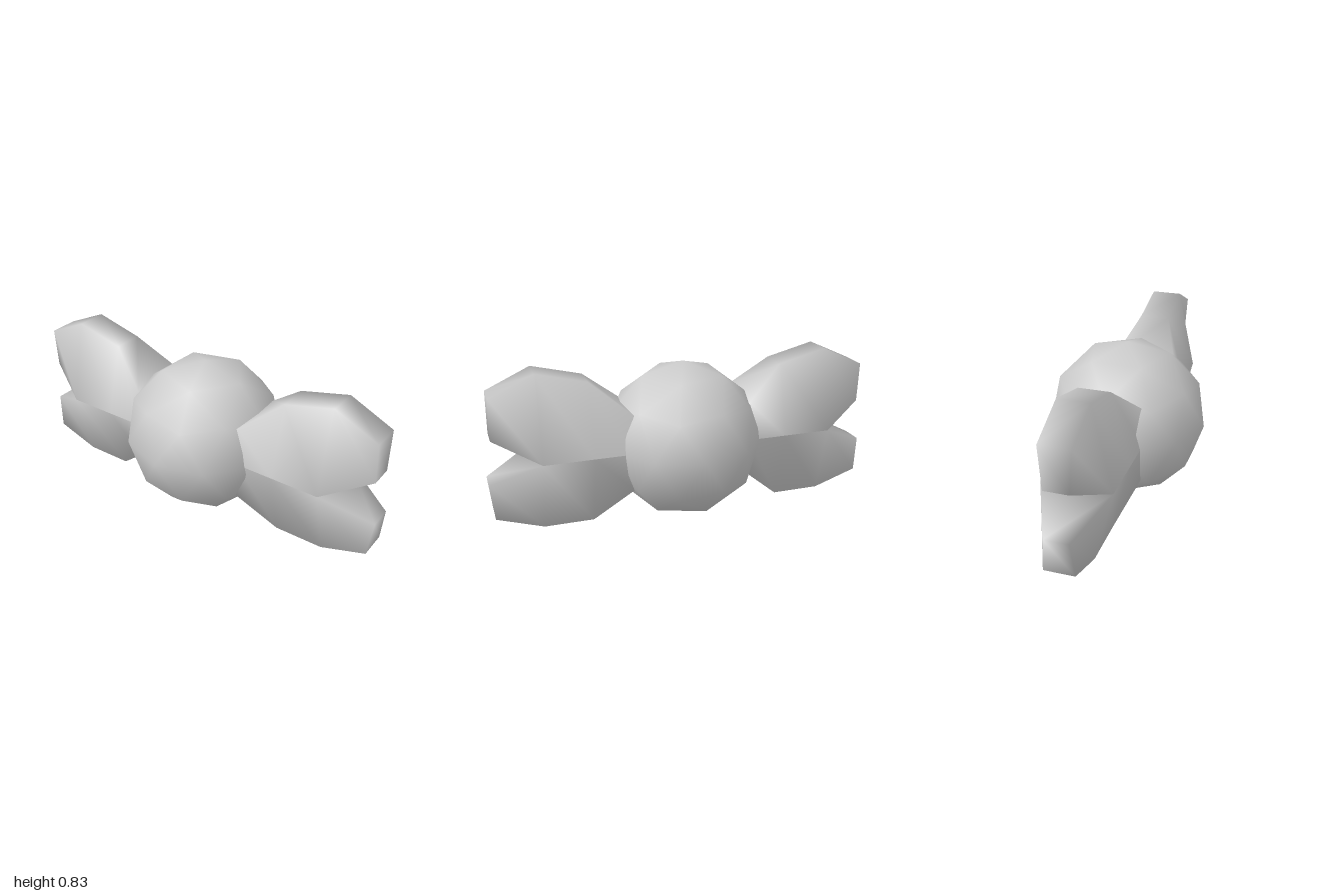
import * as THREE from 'three';

const material = new THREE.MeshStandardMaterial({ color: 0xcccccc });
const MID = 0.41; // height of the crease shared by both lobes

// Each station: [rim x, rim y, rim half depth, inner x, inner y, inner half depth]
const upperStations = [
  [0.22, 0.55, 0.16, 0.22, MID, 0.17],
  [0.305, 0.61, 0.16, 0.305, MID, 0.17],
  [0.5, 0.77, 0.077, 0.5, MID, 0.17],
  [0.75, 0.832, 0.077, 0.75, MID, 0.17],
  [0.972, 0.73, 0.075, 0.975, 0.52, 0.06],
];
const lowerStations = [
  [0.22, 0.27, 0.16, 0.22, MID, 0.17],
  [0.305, 0.215, 0.16, 0.305, MID, 0.17],
  [0.5, 0.045, 0.077, 0.5, MID, 0.17],
  [0.75, 0.045, 0.077, 0.75, MID, 0.17],
  [0.982, 0.12, 0.075, 1.0, 0.295, 0.06],
];

// Lofts four-cornered sections outward along x and closes the tip
function lobe(stations, side, name) {
  const positions = [];
  const index = [];
  for (const [rx, ry, rz, ix, iy, iz] of stations) {
    positions.push(rx, ry, side * rz, ix, iy, side * iz, ix, iy, -side * iz, rx, ry, -side * rz);
  }
  const last = stations.length - 1;
  for (let i = 0; i < last; i++) {
    for (let j = 0; j < 4; j++) {
      // The lobes meet along the crease, so only the notch needs an inner wall
      if (j === 1 && i < last - 1) continue;
      const a = i * 4 + j;
      const b = i * 4 + ((j + 1) % 4);
      index.push(a, b, b + 4, a, b + 4, a + 4);
    }
  }
  const t = last * 4;
  index.push(t, t + 1, t + 2, t, t + 2, t + 3);

  const geometry = new THREE.BufferGeometry();
  geometry.setAttribute('position', new THREE.Float32BufferAttribute(positions, 3));
  geometry.setIndex(index);
  geometry.computeVertexNormals();
  const mesh = new THREE.Mesh(geometry, material);
  mesh.name = name;
  return mesh;
}

// One bow wing: an upper and a lower lobe with a notch between the tips
function wing(name) {
  const group = new THREE.Group();
  group.name = name;
  group.add(lobe(upperStations, 1, 'upperLobe'), lobe(lowerStations, -1, 'lowerLobe'));
  return group;
}

export function createModel() {
  const model = new THREE.Group();
  model.name = 'bow';

  // Round centre knot, turned so that one corner points straight up
  const knotGeometry = new THREE.IcosahedronGeometry(0.405, 1);
  knotGeometry.rotateZ(-Math.atan(2 / (1 + Math.sqrt(5))));
  knotGeometry.rotateY(-0.035);
  const knot = new THREE.Mesh(knotGeometry, material);
  knot.name = 'centreKnot';
  knot.position.y = 0.407;
  model.add(knot);

  // The wings are the same front and back, so a half turn mirrors them
  const left = wing('leftWing');
  const right = wing('rightWing');
  right.rotation.y = Math.PI;
  model.add(left, right);

  return model;
}
